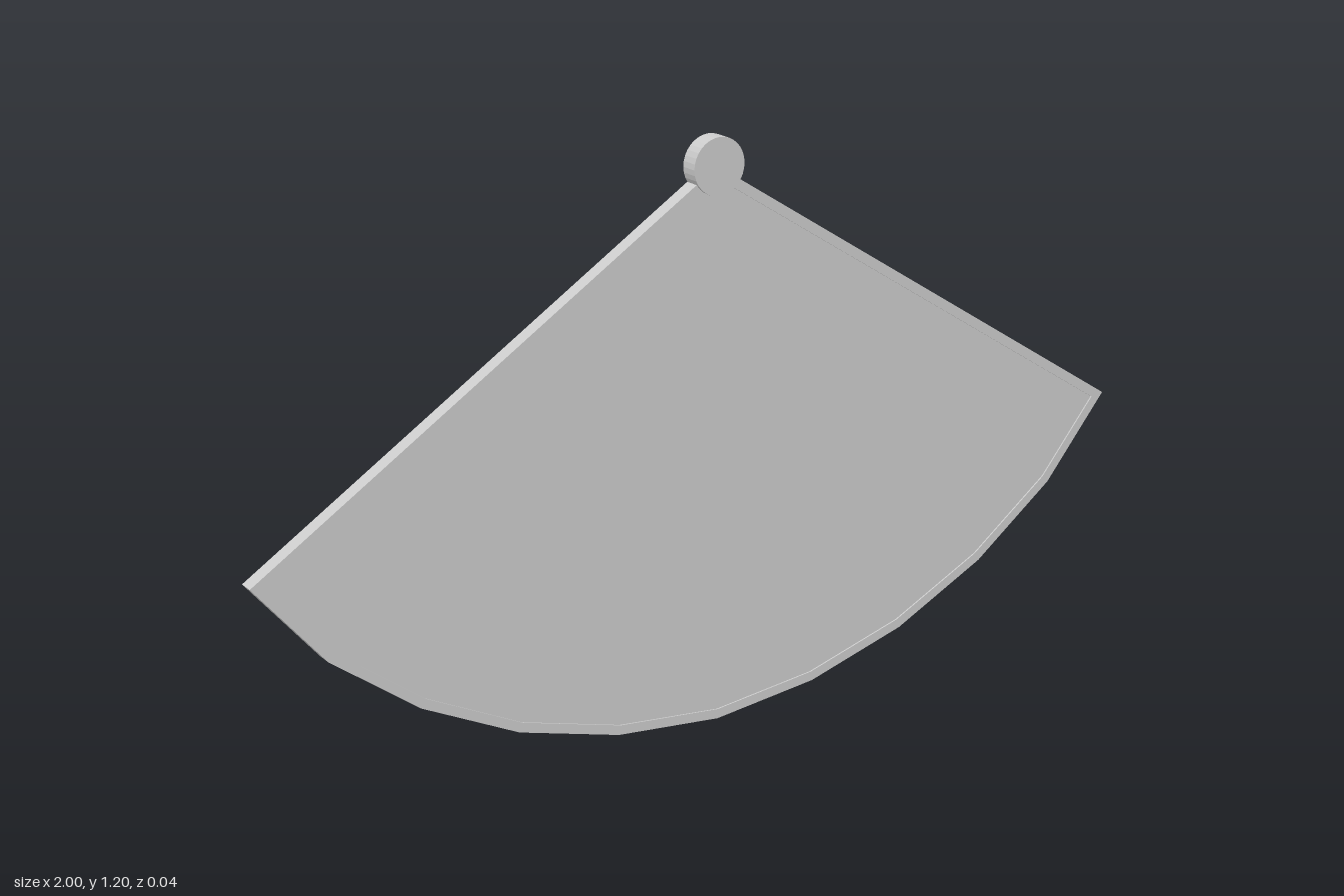
import * as THREE from 'three';

const BACK = -0.019, FRONT = 0.013, HUB_FRONT = 0.019;
const RIM = 0.02, RECESS = 0.003, HUB_R = 0.057, HUB_Y = 1.143;

// Move every edge of a convex counter-clockwise outline inwards by d.
function inset(points, d) {
  const n = points.length;
  return points.map((p, i) => {
    const a = p.clone().sub(points[(i + n - 1) % n]).normalize();
    const b = points[(i + 1) % n].clone().sub(p).normalize();
    const na = new THREE.Vector2(-a.y, a.x), nb = new THREE.Vector2(-b.y, b.x);
    return p.clone().addScaledVector(na.clone().add(nb), d / (1 + na.dot(nb)));
  });
}

export function createModel() {
  const group = new THREE.Group();
  const material = new THREE.MeshStandardMaterial({ color: 0xcccccc, flatShading: true });

  function add(name, geometry, z) {
    const mesh = new THREE.Mesh(geometry, material);
    mesh.name = name;
    mesh.position.z = z;
    group.add(mesh);
    return mesh;
  }

  // Fan outline: apex at the hub, faceted arc below
  const half = [[0.235, 0.025], [0.46, 0.09], [0.67, 0.195], [0.855, 0.335], [1, 0.51]];
  const outline = [
    ...half.slice().reverse().map(([x, y]) => new THREE.Vector2(-x, y)),
    new THREE.Vector2(0, 0),
    ...half.map(([x, y]) => new THREE.Vector2(x, y)),
    new THREE.Vector2(0, HUB_Y),
  ];

  // Flat sector panel
  add('fanPanel', new THREE.ExtrudeGeometry(new THREE.Shape(outline),
    { depth: FRONT - RECESS - BACK, bevelEnabled: false }), BACK);

  // Narrow raised border on the front
  const border = new THREE.Shape(outline);
  border.holes.push(new THREE.Path(inset(outline, RIM)));
  add('fanBorder', new THREE.ExtrudeGeometry(border,
    { depth: RECESS, bevelEnabled: false }), FRONT - RECESS);

  // Round pivot at the apex
  const hub = new THREE.CylinderGeometry(HUB_R, HUB_R, HUB_FRONT - BACK, 32);
  hub.rotateX(Math.PI / 2);
  add('pivotHub', hub, (HUB_FRONT + BACK) / 2).position.y = HUB_Y;

  return group;
}
